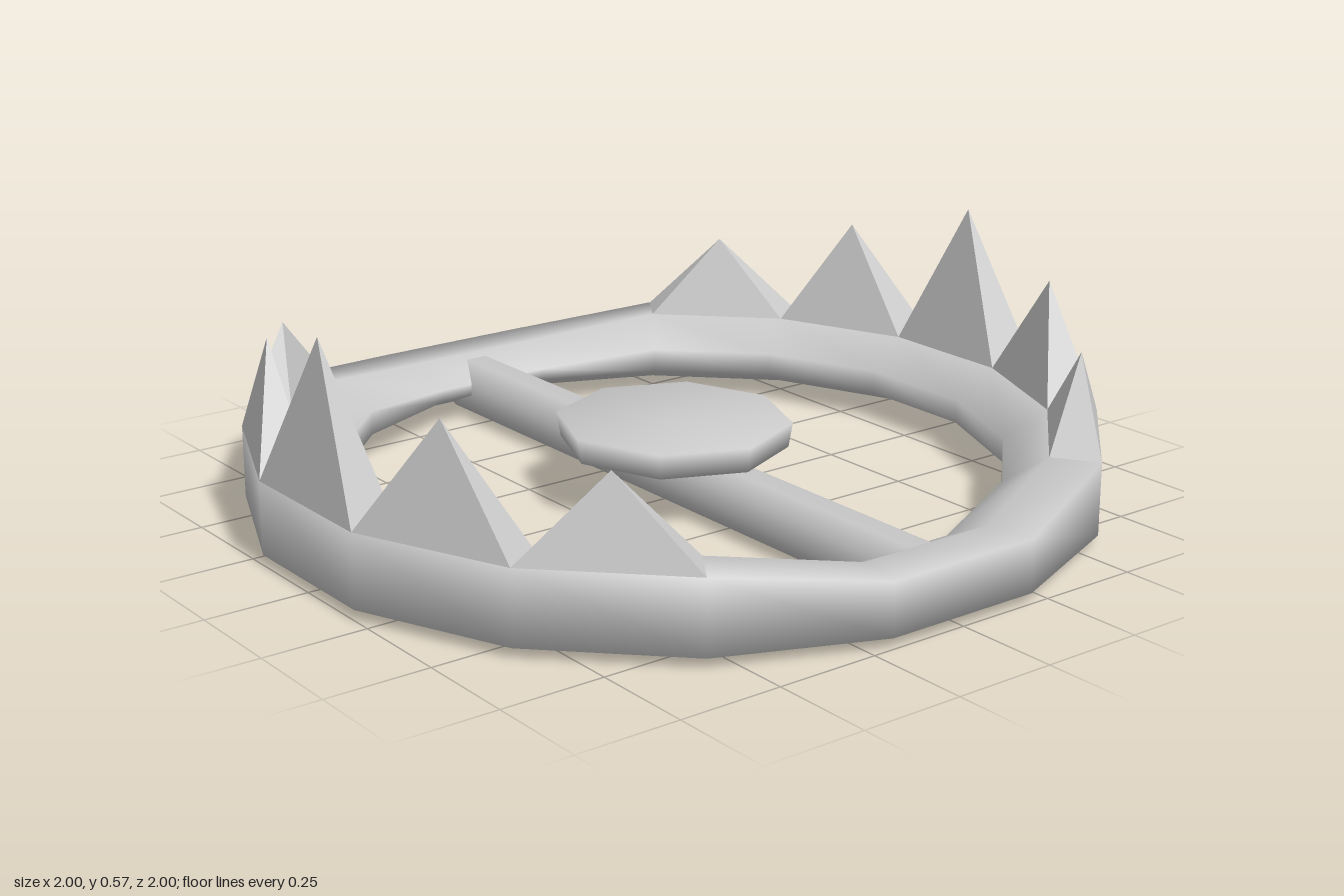
import * as THREE from 'three';
import { mergeVertices } from 'three/addons/utils/BufferGeometryUtils.js';

const SIDES = 16;
const OUTER = 1.02, SHELF = 0.9, INNER = 0.795;
const BOTTOM = 0.025, TOP = 0.2;

const material = () => new THREE.MeshStandardMaterial({ color: 0xcccccc });

// Point on the ring at corner i
function corner(i, r, y) {
  const a = ((i + 0.5) / SIDES) * Math.PI * 2;
  return [r * Math.cos(a), y, r * Math.sin(a)];
}

function named(name, geometry) {
  const mesh = new THREE.Mesh(geometry, material());
  mesh.name = name;
  return mesh;
}

function bufferFrom(points, index) {
  const g = new THREE.BufferGeometry();
  g.setAttribute('position', new THREE.Float32BufferAttribute(points.flat(), 3));
  if (index) g.setIndex(index);
  g.computeVertexNormals();
  return g;
}

// Sixteen-sided ring with a six-point section, lower at the two hinge sides
function ringGeometry() {
  const points = [], index = [];
  const n = 6;
  for (let i = 0; i < SIDES; i++) {
    const low = i % 8 === 0 || i % 8 === 7;
    const top = low ? 0.15 : TOP;
    const section = [
      [OUTER, BOTTOM], [OUTER, top], [SHELF, top],
      [INNER, low ? 0.1 : 0.13], [INNER, 0.07], [SHELF, BOTTOM],
    ];
    for (const [r, y] of section) points.push(corner(i, r, y));
    const next = (i + 1) % SIDES;
    for (let j = 0; j < n; j++) {
      const k = (j + 1) % n;
      const a = i * n + j, b = i * n + k, c = next * n + k, d = next * n + j;
      index.push(a, b, c, a, c, d);
    }
  }
  return bufferFrom(points, index);
}

// Four-sided spike standing on one facet of the ring
function toothGeometry(i, height) {
  const base = [
    corner(i, OUTER, TOP), corner(i + 1, OUTER, TOP),
    corner(i + 1, SHELF, TOP), corner(i, SHELF, TOP),
  ];
  const apex = corner(i + 0.5, 0.95, height);
  const points = [];
  base.forEach((p, k) => points.push(p, apex, base[(k + 1) % 4]));
  return bufferFrom(points);
}

export function createModel() {
  const model = new THREE.Group();
  model.name = 'jawTrap';
  model.add(named('jawRing', ringGeometry()));

  // Five teeth on the front jaw and five on the back jaw
  const heights = [0.4, 0.47, 0.57, 0.47, 0.4];
  for (const [name, first] of [['frontTeeth', 1], ['backTeeth', 9]]) {
    const teeth = new THREE.Group();
    teeth.name = name;
    heights.forEach((h, k) => teeth.add(named('tooth', toothGeometry(first + k, h))));
    model.add(teeth);
  }

  // Octagonal bar across the ring, flat side down
  const barRadius = 0.07 / Math.cos(Math.PI / 8);
  const bar = new THREE.CylinderGeometry(barRadius, barRadius, 1.84, 8, 1, false, Math.PI / 8);
  bar.rotateZ(Math.PI / 2);
  bar.translate(0, 0.07, 0);
  model.add(named('crossBar', bar));

  // Octagonal trigger plate with soft shading over its edges
  let plate = new THREE.CylinderGeometry(0.29, 0.28, 0.06, 8);
  plate.deleteAttribute('uv');
  plate.deleteAttribute('normal');
  plate = mergeVertices(plate);
  plate.scale(1, 1, 0.965);
  plate.translate(0, 0.17, 0);
  plate.computeVertexNormals();
  model.add(named('triggerPlate', plate));

  return model;
}
